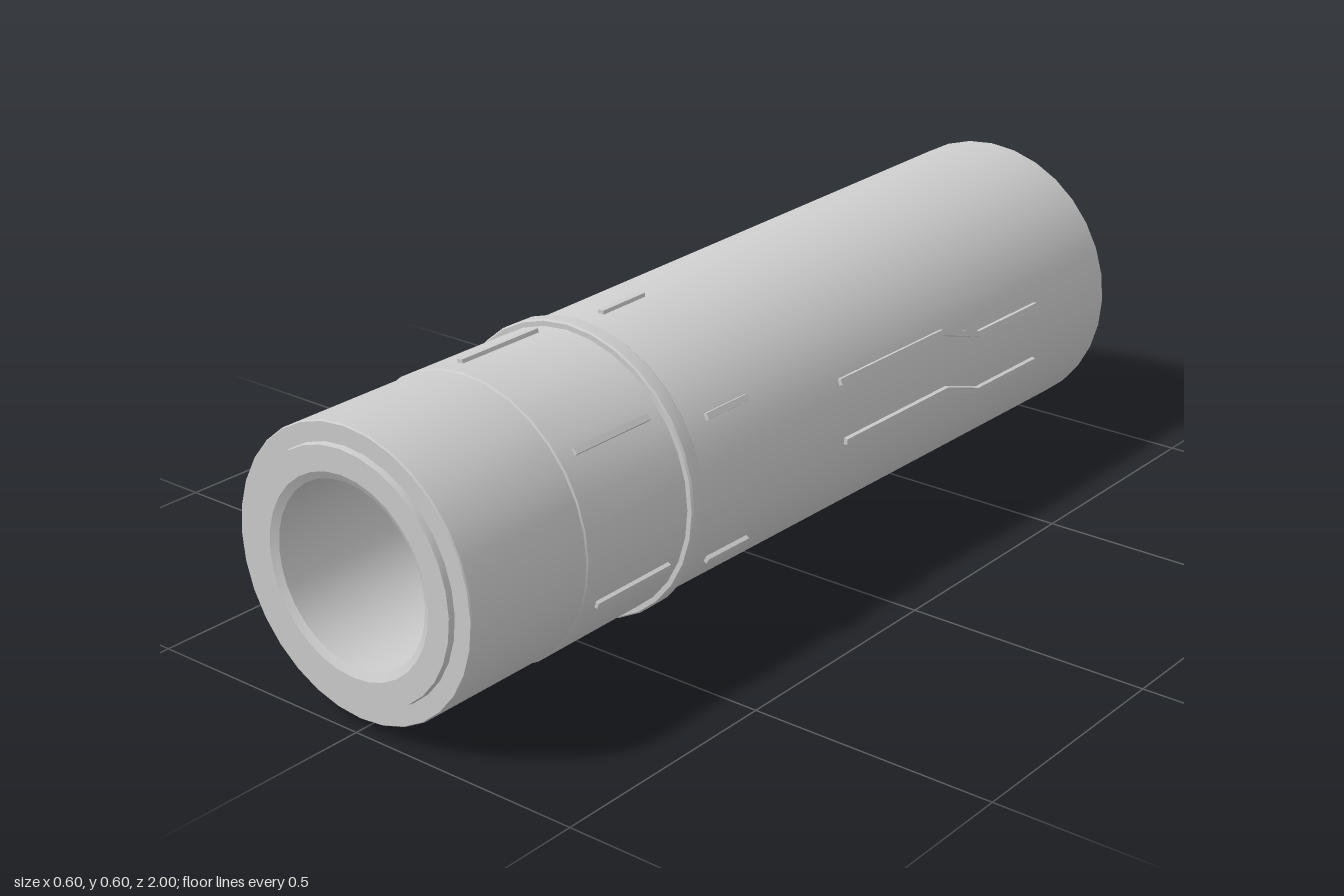
import * as THREE from 'three';
import { toCreasedNormals } from 'three/addons/utils/BufferGeometryUtils.js';

const material = new THREE.MeshStandardMaterial({ color: 0xcccccc });
const ribMaterial = new THREE.MeshStandardMaterial({ color: 0xcccccc, flatShading: true });
const AXIS_HEIGHT = 0.304;

// Radius of the tapered body at a given z
function bodyRadius(z) {
  return z > 0.4 ? 0.283 : 0.302 - 0.016 * (z + 1) / 1.4;
}

// Solid of revolution about the z axis from [radius, z] pairs, back to front
function turned(name, profile) {
  const points = profile.map(([r, z]) => new THREE.Vector2(r, z));
  const geometry = new THREE.LatheGeometry(points, 32).rotateX(Math.PI / 2);
  const mesh = new THREE.Mesh(toCreasedNormals(geometry, 0.45), material);
  mesh.name = name;
  return mesh;
}

// Raised bar hugging the body: path of [z, angle] pairs, z increasing
function raisedBar(name, path) {
  const positions = [];
  const index = [];
  const section = [[-0.008, -0.008], [-0.006, 0.007], [0.006, 0.007], [0.008, -0.008]];
  path.forEach(([z, angle], i) => {
    const radius = bodyRadius(z);
    for (const [across, rise] of section) {
      const a = angle + across / radius;
      positions.push((radius + rise) * Math.cos(a), (radius + rise) * Math.sin(a), z);
    }
    if (i === 0) return;
    const p = (i - 1) * 4;
    for (let j = 0; j < 4; j++) {
      const k = (j + 1) % 4;
      index.push(p + j, p + k, p + 4 + k, p + j, p + 4 + k, p + 4 + j);
    }
  });
  const e = (path.length - 1) * 4;
  index.push(0, 2, 1, 0, 3, 2, e, e + 1, e + 2, e, e + 2, e + 3);
  const geometry = new THREE.BufferGeometry();
  geometry.setAttribute('position', new THREE.Float32BufferAttribute(positions, 3));
  geometry.setIndex(index);
  geometry.computeVertexNormals();
  const mesh = new THREE.Mesh(geometry, ribMaterial);
  mesh.name = name;
  return mesh;
}

export function createModel() {
  const model = new THREE.Group();
  model.name = 'handle';
  const tube = new THREE.Group();
  tube.name = 'tube';
  tube.position.y = AXIS_HEIGHT;
  model.add(tube);

  // Tapered grip, stepped nose, front lip and blind bore
  tube.add(turned('body', [
    [0, -1], [0.302, -1], [0.286, 0.4], [0.283, 0.41],
    [0.284, 0.697], [0.281, 0.7], [0.281, 0.985], [0.279, 0.988],
    [0.243, 0.988], [0.241, 1], [0.193, 1], [0.178, 0.992],
    [0.178, 0.68], [0.133, 0.68], [0.133, 0.67], [0, 0.67],
  ]));

  // Collar ring between grip and nose
  tube.add(turned('collar', [
    [0.275, 0.39], [0.293, 0.39], [0.296, 0.394], [0.296, 0.421],
    [0.293, 0.425], [0.275, 0.425],
  ]));

  // Two rings of six short ribs, either side of the collar
  const ribRings = [
    { name: 'noseRib', start: 0.46, end: 0.66, offset: 39 },
    { name: 'gripRib', start: 0.21, end: 0.33, offset: 30 },
  ];
  for (const { name, start, end, offset } of ribRings) {
    for (let i = 0; i < 6; i++) {
      const angle = THREE.MathUtils.degToRad(offset + i * 60);
      tube.add(raisedBar(name, [[start, angle], [end, angle]]));
    }
  }

  // Pairs of stepped grip strips, repeated half a turn round
  const strips = [[0.063, 0.098], [-0.06, -0.021]];
  for (const turn of [0, Math.PI]) {
    for (const [low, high] of strips) {
      const path = [[-0.73, low], [-0.515, low], [-0.395, high], [-0.05, high]];
      tube.add(raisedBar('gripStrip', path.map(([z, h]) =>
        [z, turn + Math.asin(h / bodyRadius(z))])));
    }
  }
  return model;
}
